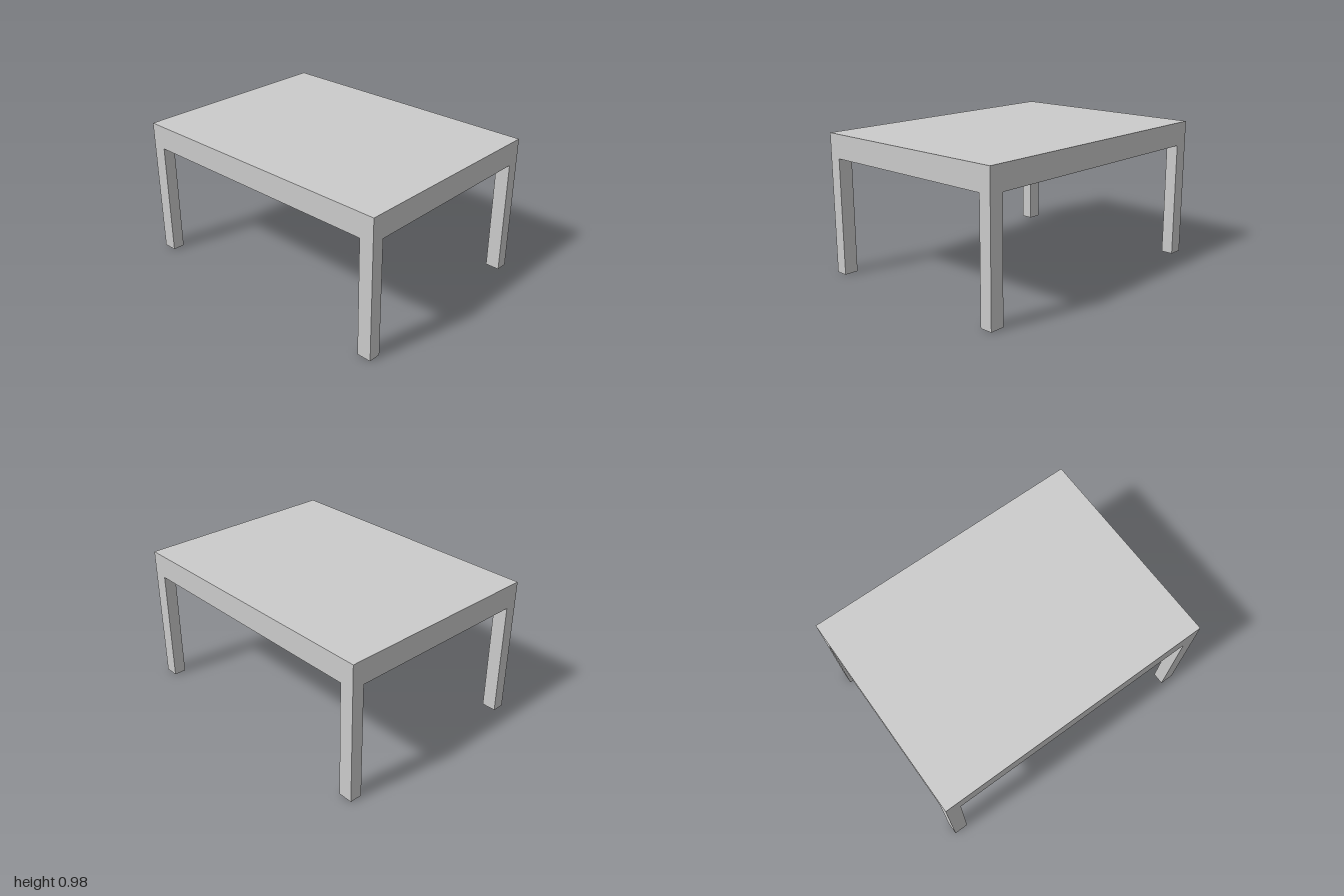
import * as THREE from 'three';

export function createModel() {
  const group = new THREE.Group();
  const material = new THREE.MeshStandardMaterial({ color: 0xcccccc, flatShading: true });

  const width = 2, depth = 1.48, height = 0.975, underside = 0.81;
  const legWidth = 0.1, legDepth = 0.085;

  const addBox = (name, w, h, d, x, y, z) => {
    const mesh = new THREE.Mesh(new THREE.BoxGeometry(w, h, d), material);
    mesh.name = name;
    mesh.position.set(x, y, z);
    group.add(mesh);
  };

  // Thick solid top
  addBox('tableTop', width, height - underside, depth, 0, (height + underside) / 2, 0);

  // Four legs, flush with the corners of the top
  for (const [zName, sz] of [['front', 1], ['back', -1]]) {
    for (const [xName, sx] of [['Left', 1], ['Right', -1]]) {
      addBox(`${zName}${xName}Leg`, legWidth, underside, legDepth,
        sx * (width - legWidth) / 2, underside / 2, sz * (depth - legDepth) / 2);
    }
  }

  return group;
}
